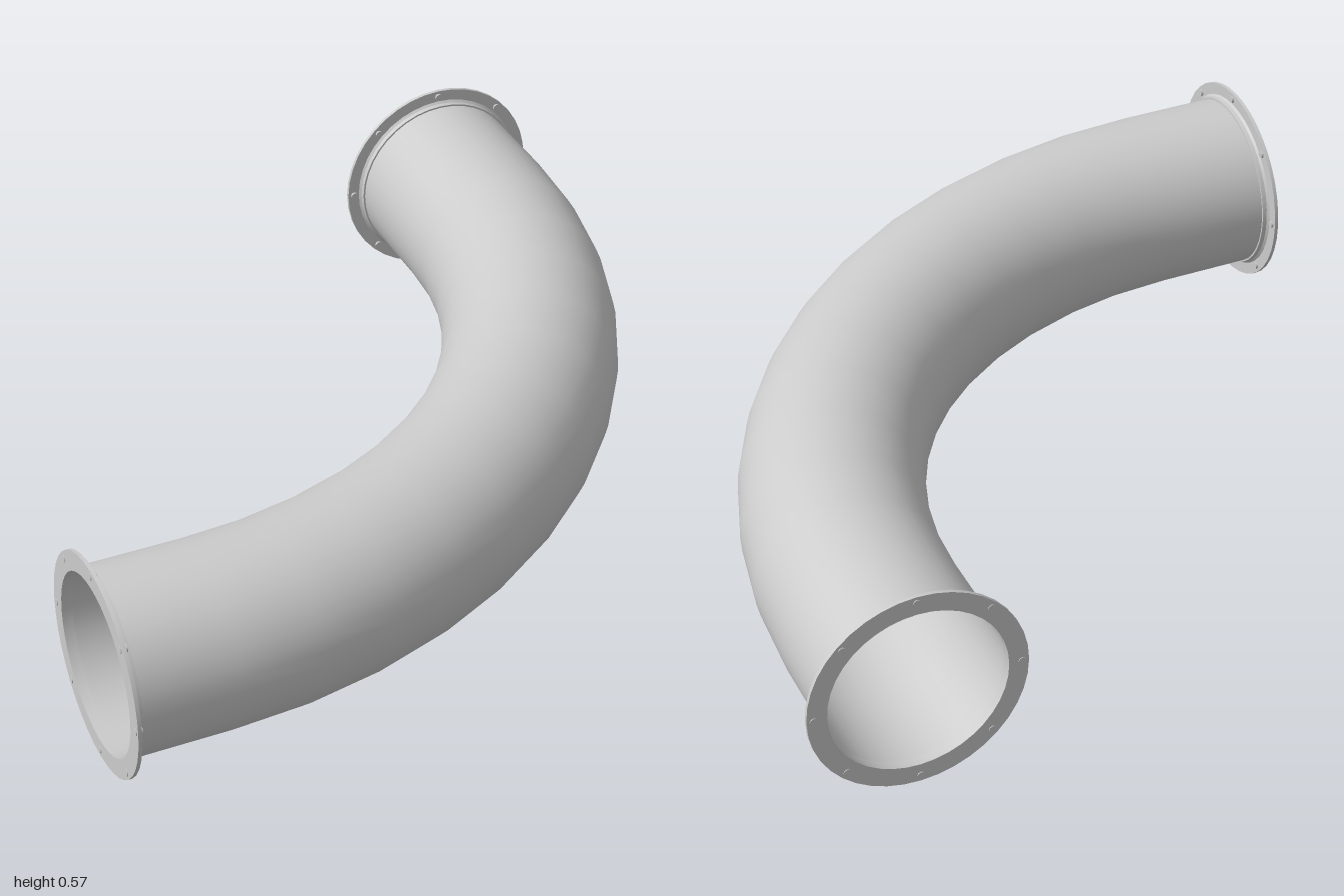
import * as THREE from 'three';
import { toCreasedNormals } from 'three/addons/utils/BufferGeometryUtils.js';

const SIDES = 40;
const BEND_STEPS = 12;
const AXIS_Y = 0.285;    // height of the pipe axis
const END = 0.715;       // sideways offset of each mouth, and of the bend centre
const BEND_R = 2 * END;  // bend radius of the pipe axis
const OUTER = 0.24;
const INNER = 0.234;

const material = new THREE.MeshStandardMaterial({ color: 0xcccccc });

// Pipe wall swept through a quarter bend with a straight run at each end
function pipeWall(radius, inward) {
  const stations = [[0, -0.283, 0]];
  for (let i = 0; i <= BEND_STEPS; i++) stations.push([(i / BEND_STEPS) * Math.PI / 2, 0, 0]);
  stations.push([Math.PI / 2, 0, -0.283]);

  const positions = [], index = [];
  stations.forEach(([t, dx, dz], i) => {
    for (let j = 0; j < SIDES; j++) {
      const a = (j / SIDES) * Math.PI * 2;
      const r = BEND_R + radius * Math.cos(a);
      positions.push(-END + r * Math.sin(t) + dx, AXIS_Y + radius * Math.sin(a), -END + r * Math.cos(t) + dz);
      if (i === 0) continue;
      const k = (j + 1) % SIDES;
      const p = (i - 1) * SIDES + j, q = i * SIDES + j;
      const pn = (i - 1) * SIDES + k, qn = i * SIDES + k;
      if (inward) index.push(p, pn, q, q, pn, qn);
      else index.push(p, q, pn, q, qn, pn);
    }
  });
  const geometry = new THREE.BufferGeometry();
  geometry.setAttribute('position', new THREE.Float32BufferAttribute(positions, 3));
  geometry.setIndex(index);
  geometry.computeVertexNormals();
  return geometry;
}

// Angle ring with a short collar and eight bolts; its face is at y = 0, collar along +y
function makeFlange(name) {
  const flange = new THREE.Group();
  flange.name = name;
  const profile = [
    [0.233, 0.002], [0.285, 0.002], [0.285, 0.012], [0.252, 0.012],
    [0.246, 0.018], [0.245, 0.03], [0.233, 0.03], [0.233, 0.002],
  ].map(([r, y]) => new THREE.Vector2(r, y));
  const ring = new THREE.Mesh(toCreasedNormals(new THREE.LatheGeometry(profile, SIDES), 0.6), material);
  ring.name = 'flangeRing';
  flange.add(ring);

  const boltGeometry = new THREE.CylinderGeometry(0.01, 0.01, 0.018, 8);
  for (let i = 0; i < 8; i++) {
    const a = (i / 8) * Math.PI * 2;
    const bolt = new THREE.Mesh(boltGeometry, material);
    bolt.name = 'flangeBolt';
    bolt.position.set(0.267 * Math.cos(a), 0.009, 0.267 * Math.sin(a));
    flange.add(bolt);
  }
  return flange;
}

export function createModel() {
  const model = new THREE.Group();
  model.name = 'flangedPipeBend';

  // Pipe walls
  const outer = new THREE.Mesh(pipeWall(OUTER, false), material);
  outer.name = 'pipeOuterWall';
  const inner = new THREE.Mesh(pipeWall(INNER, true), material);
  inner.name = 'pipeInnerWall';

  // Flanges on the two mouths
  const rightFlange = makeFlange('rightFlange');
  rightFlange.position.set(-1, AXIS_Y, END);
  rightFlange.rotation.z = -Math.PI / 2;
  const backFlange = makeFlange('backFlange');
  backFlange.position.set(END, AXIS_Y, -1);
  backFlange.rotation.x = Math.PI / 2;

  model.add(outer, inner, rightFlange, backFlange);
  return model;
}
